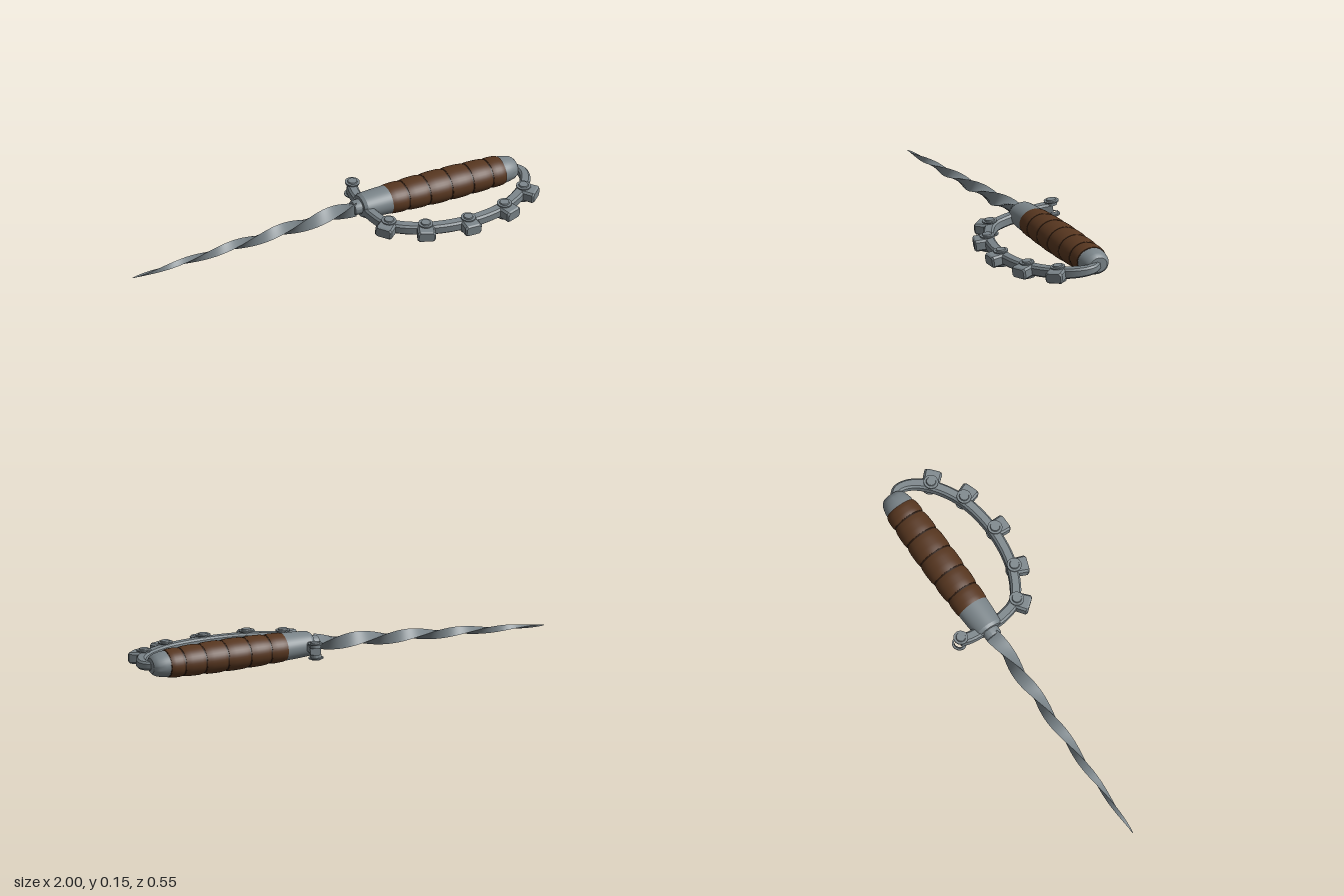
import * as THREE from 'three';
import { toCreasedNormals } from 'three/addons/utils/BufferGeometryUtils.js';

const material = (name, color) => {
  const m = new THREE.MeshStandardMaterial({ color });
  m.name = name;
  return m;
};

function named(name, geometry, mat) {
  const mesh = new THREE.Mesh(geometry, mat);
  mesh.name = name;
  return mesh;
}

// Skin a list of equal-sized cross-sections and close both ends
function loft(rings, crease = 0.6) {
  const n = rings[0].length, last = (rings.length - 1) * n, index = [];
  for (let i = 0; i < rings.length - 1; i++) {
    for (let j = 0; j < n; j++) {
      const a = i * n + j, b = i * n + (j + 1) % n;
      index.push(a, b, a + n, b, b + n, a + n);
    }
  }
  for (let j = 1; j < n - 1; j++) {
    index.push(0, j + 1, j, last, last + j, last + j + 1);
  }
  const g = new THREE.BufferGeometry().setFromPoints(rings.flat());
  g.setIndex(index);
  return toCreasedNormals(g, crease);
}

// Chamfered rectangle around p, square to the horizontal direction t
function barSection(p, t, w, h, c = 0.009) {
  const side = new THREE.Vector3(-t.z, 0, t.x);
  return [[w, h - c], [w, c - h], [w - c, -h], [c - w, -h],
    [-w, c - h], [-w, h - c], [c - w, h], [w - c, h]]
    .map(([s, y]) => p.clone().addScaledVector(side, s).add(new THREE.Vector3(0, y, 0)));
}

// Turned shape from [position, radius] pairs
const turned = (pts) => toCreasedNormals(
  new THREE.LatheGeometry(pts.map(([y, r]) => new THREE.Vector2(r, y)), 40), 0.5);

export function createModel() {
  const model = new THREE.Group();
  const steel = material('steel', 0x7b858a);
  const leather = material('brown leather', 0x583720);
  const darkLeather = material('dark leather', 0x2f1c10);

  // Handle: parts turned about the long axis, slightly flattened
  const handle = new THREE.Group();
  handle.name = 'handle';
  handle.rotation.z = -Math.PI / 2;
  handle.scale.x = 0.83;
  handle.position.set(0, 0.078, -0.1);
  model.add(handle);

  handle.add(named('bladeCollar', turned([[0.13, 0], [0.13, 0.036], [0.14, 0.04], [0.18, 0.04]]), steel));
  handle.add(named('ferrule', turned([[0.165, 0], [0.165, 0.058], [0.18, 0.068], [0.24, 0.073],
    [0.305, 0.076], [0.305, 0]]), steel));
  handle.add(named('pommel', turned([[0.88, 0], [0.88, 0.073], [0.91, 0.07], [0.94, 0.062],
    [0.955, 0.053], [0.963, 0.042], [0.964, 0]]), steel));

  // Grip: dark core showing in the grooves between bulging wraps
  const gripRadius = (x) => 0.079 + 0.009 * Math.sin(Math.PI * (x - 0.3) / 0.587);
  const core = [[0.297, 0]];
  for (let i = 0; i <= 12; i++) {
    const x = 0.297 + i * 0.593 / 12;
    core.push([x, gripRadius(x) - 0.006]);
  }
  core.push([0.89, 0]);
  handle.add(named('gripCore', turned(core), darkLeather));

  const seams = [0.297, 0.388, 0.493, 0.605, 0.715, 0.818, 0.89];
  for (let i = 0; i < 6; i++) {
    const a = seams[i] + 0.004, b = seams[i + 1] - 0.004;
    const pts = [[a, gripRadius(a) - 0.01]];
    for (let k = 0; k <= 6; k++) {
      const x = a + (b - a) * k / 6;
      pts.push([x, gripRadius(x) - 0.004 * Math.pow(Math.abs(k / 3 - 1), 4)]);
    }
    pts.push([b, gripRadius(b) - 0.01]);
    handle.add(named('gripWrap', turned(pts), leather));
  }

  // Blade: twisted three-edged spike tapering to the tip
  const rings = [];
  for (let i = 0; i <= 90; i++) {
    const u = i / 90;
    const r = 0.001 + 0.04 * Math.pow(u, 0.6);
    const ring = [];
    for (let j = 0; j < 3; j++) {
      const a = u * Math.PI * 3 - j * Math.PI * 2 / 3;
      ring.push(new THREE.Vector3(-1 + 1.14 * u, 0.004 + 0.073 * u + r * Math.sin(a),
        -0.108 + 0.008 * u + r * Math.cos(a)));
    }
    rings.push(ring);
  }
  model.add(named('blade', loft(rings), steel));

  // Knuckle guard: a bar in one tilted plane
  const guard = new THREE.Group();
  guard.name = 'guard';
  guard.position.set(0, 0.075, -0.1);
  guard.rotation.x = 0.114;
  model.add(guard);

  const path = new THREE.CatmullRomCurve3([[0.2, -0.245], [0.187, -0.19], [0.187, -0.1],
    [0.193, -0.01], [0.228, 0.08], [0.37, 0.165], [0.57, 0.197], [0.77, 0.165], [0.91, 0.08],
    [0.968, 0], [0.976, -0.06], [0.94, -0.105]].map(([x, z]) => new THREE.Vector3(x, 0, z + 0.1)));
  const sections = [];
  for (let i = 0; i <= 88; i++) {
    const u = i / 88;
    const h = 0.025 - 0.006 * Math.max(0, (u - 0.75) / 0.25);
    sections.push(barSection(path.getPoint(u), path.getTangent(u), h, h));
  }
  guard.add(named('guardBar', loft(sections), steel));

  // Knuckle blocks and stepped bolt heads along the bar
  const forward = new THREE.Vector3(0, 0, 1);
  const block = loft([[-0.01, 0.032, 0.023], [0.015, 0.04, 0.027], [0.066, 0.042, 0.027], [0.074, 0.036, 0.022]]
    .map(([z, w, h]) => barSection(new THREE.Vector3(0, 0, z), forward, w, h)), 0.3);
  const bolt = turned([[0.015, 0.026], [0.03, 0.026], [0.03, 0.034], [0.036, 0.034],
    [0.036, 0.023], [0.042, 0.021], [0.042, 0]]);

  for (const i of [0, 4, 5, 6, 7, 8]) {
    const p = path.getPoint(i / 11), t = path.getTangent(i / 11);
    if (i > 0) {
      const b = named('knuckleBlock', block, steel);
      b.position.copy(p);
      b.rotation.y = Math.atan2(-t.z, t.x);
      guard.add(b);
    }
    for (const flip of [0, Math.PI]) {
      const head = named('boltHead', bolt, steel);
      head.position.copy(p).addScaledVector(new THREE.Vector3(-t.z, 0, t.x), i > 0 ? 0.008 : 0);
      head.rotation.x = flip;
      guard.add(head);
    }
  }
  return model;
}
